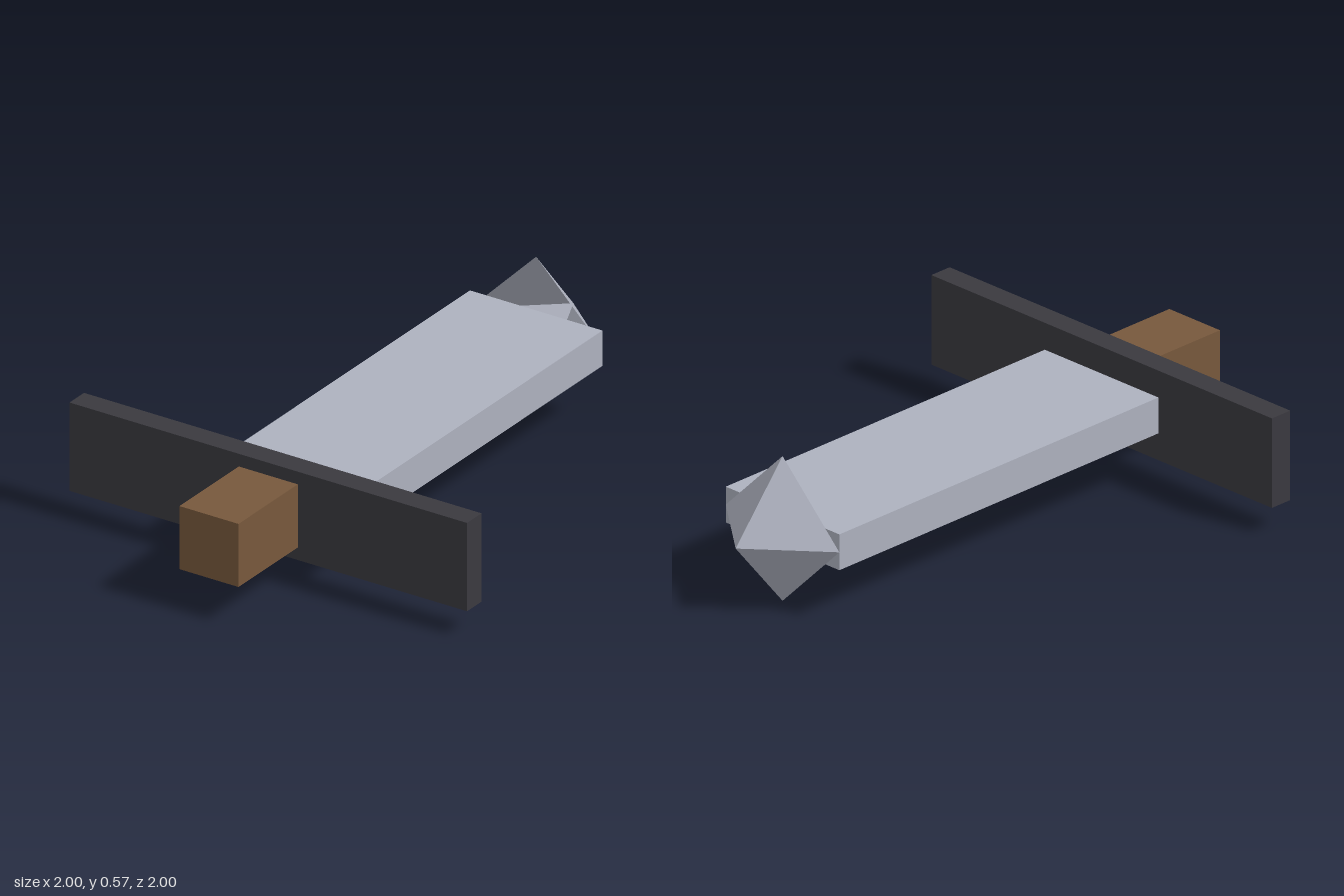
import * as THREE from 'three';

export function createModel() {
  const steel = new THREE.MeshStandardMaterial({ name: 'steel', color: 0xadb1be, flatShading: true, side: THREE.DoubleSide });
  const darkIron = new THREE.MeshStandardMaterial({ name: 'darkIron', color: 0x3a393f, flatShading: true });
  const wood = new THREE.MeshStandardMaterial({ name: 'wood', color: 0x77583c, flatShading: true });

  // The sword lies along local x, turned 45 degrees about y
  const sword = new THREE.Group();
  sword.name = 'sword';
  sword.position.y = 0.285;
  sword.rotation.y = Math.PI / 4;

  // Box running from x0 to x1, centred on the sword's axis
  function bar(name, material, x0, x1, height, width) {
    const mesh = new THREE.Mesh(new THREE.BoxGeometry(x1 - x0, height, width), material);
    mesh.name = name;
    mesh.position.x = (x0 + x1) / 2;
    sword.add(mesh);
  }
  bar('handle', wood, -0.942, -0.566, 0.25, 0.252);
  bar('guard', darkIron, -0.566, -0.474, 0.35, 1.697);
  bar('blade', steel, -0.474, 1.131, 0.14, 0.566);

  // Tip: four-sided pyramid, open at the base
  const tip = new THREE.Mesh(new THREE.ConeGeometry(0.283, 0.236, 4, 1, true), steel);
  tip.name = 'tip';
  tip.rotation.z = -Math.PI / 2;
  tip.position.x = 1.131 + 0.118;
  sword.add(tip);

  const model = new THREE.Group();
  model.name = 'model';
  model.add(sword);
  return model;
}
